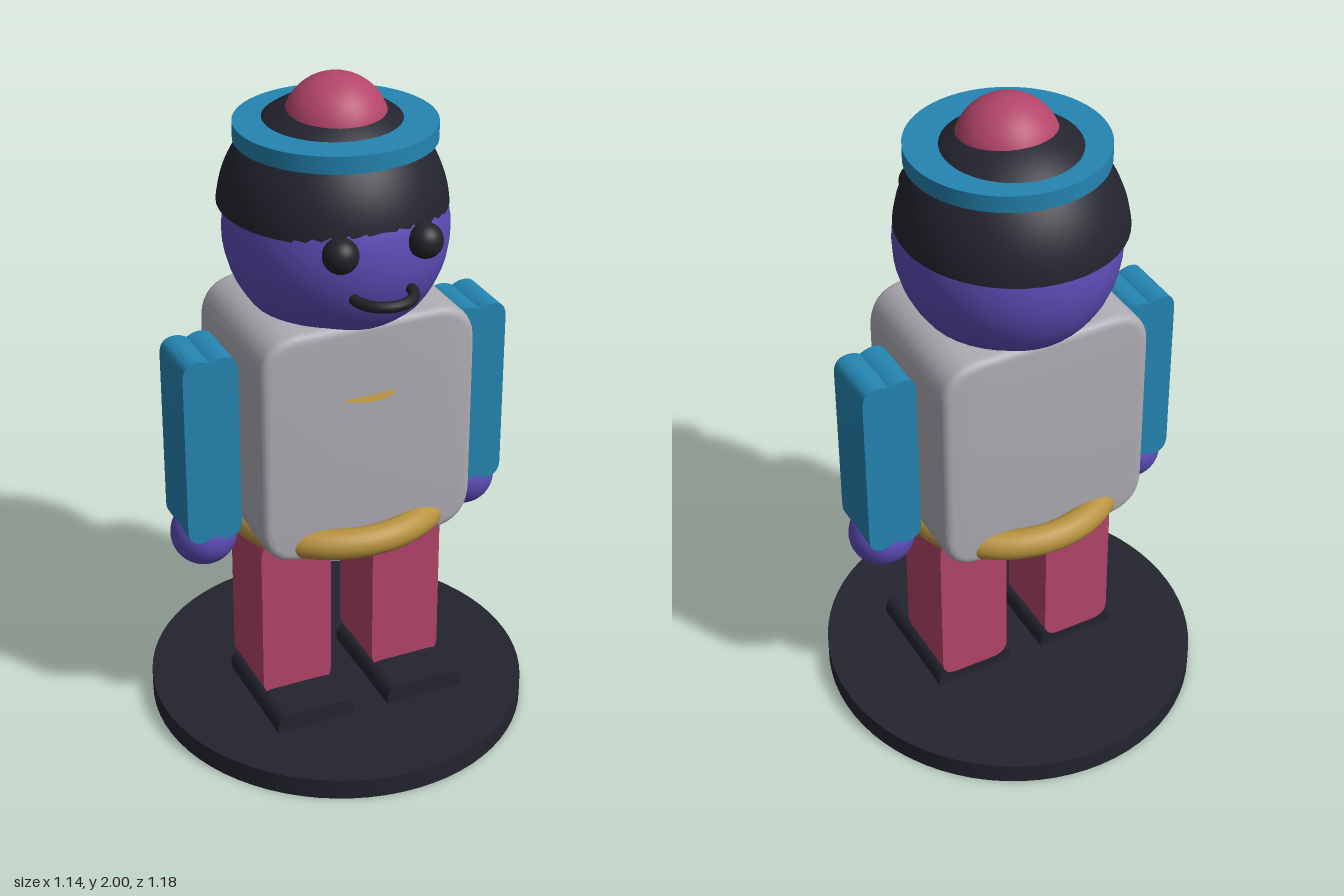
import * as THREE from 'three';
import { toCreasedNormals } from 'three/addons/utils/BufferGeometryUtils.js';

const mat = (name, color, side = THREE.FrontSide) => {
  const m = new THREE.MeshStandardMaterial({ color, side });
  m.name = name;
  return m;
};

// Rounded rectangle centred on the origin
function roundedRect(w, h, r) {
  const x = w / 2, y = h / 2, s = new THREE.Shape();
  s.moveTo(-x + r, -y);
  s.lineTo(x - r, -y);
  s.quadraticCurveTo(x, -y, x, -y + r);
  s.lineTo(x, y - r);
  s.quadraticCurveTo(x, y, x - r, y);
  s.lineTo(-x + r, y);
  s.quadraticCurveTo(-x, y, -x, y - r);
  s.lineTo(-x, -y + r);
  s.quadraticCurveTo(-x, -y, -x + r, -y);
  return s;
}

// Arm outline with a shallow groove across both ends
function armOutline(w, h) {
  const x = w / 2, y = h / 2, r = 0.05, b = 0.038, notch = 0.012;
  const s = new THREE.Shape();
  s.moveTo(0, -y + notch);
  s.quadraticCurveTo(b / 2, -y, b, -y);
  s.quadraticCurveTo(x, -y, x, -y + r);
  s.lineTo(x, y - r);
  s.quadraticCurveTo(x, y, b, y);
  s.quadraticCurveTo(b / 2, y, 0, y - notch);
  s.quadraticCurveTo(-b / 2, y, -b, y);
  s.quadraticCurveTo(-x, y, -x, y - r);
  s.lineTo(-x, -y + r);
  s.quadraticCurveTo(-x, -y, -b, -y);
  s.quadraticCurveTo(-b / 2, -y, 0, -y + notch);
  return s;
}

// Extrusion centred in z, with an optional rounded edge
function slab(shape, depth, bevel = 0) {
  const g = new THREE.ExtrudeGeometry(shape, {
    depth: depth - 2 * bevel, curveSegments: 10, bevelEnabled: bevel > 0,
    bevelThickness: bevel, bevelSize: bevel, bevelSegments: 4,
  });
  g.translate(0, 0, -depth / 2 + bevel);
  return toCreasedNormals(g, 0.6);
}

export function createModel() {
  const skin = mat('purple skin', 0x5d4db8);
  const dark = mat('dark navy', 0x242430, THREE.DoubleSide);
  const black = mat('face black', 0x222227);
  const red = mat('raspberry', 0xb4456a);
  const blue = mat('teal blue', 0x2485b2);
  const grey = mat('light grey', 0xaeacb3);
  const gold = mat('gold', 0xb8923e, THREE.DoubleSide);

  const model = new THREE.Group();
  const add = (name, geometry, material, x = 0, y = 0, z = 0) => {
    const m = new THREE.Mesh(geometry, material);
    m.name = name;
    m.position.set(x, y, z);
    model.add(m);
    return m;
  };
  const ball = (r) => new THREE.SphereGeometry(r, 40, 28);

  // Oval stand
  add('base', new THREE.CylinderGeometry(0.59, 0.59, 0.065, 72), dark, 0, 0.0325, 0).scale.x = 0.966;

  // Torso, belt and the flat chest pocket ledge
  add('torso', slab(roundedRect(0.608, 0.675, 0.1), 0.475, 0.025), grey, 0, 0.993, 0);
  const belt = add('belt', new THREE.TorusGeometry(0.278, 0.045, 20, 64).rotateX(Math.PI / 2), gold, 0, 0.677, 0);
  belt.scale.x = 1.07;
  add('chestLedge', new THREE.CircleGeometry(0.11, 32).rotateX(-Math.PI / 2), gold, 0, 1.13, 0.165);

  // Limbs, mirrored
  for (const side of [1, -1]) {
    const label = side > 0 ? 'left' : 'right';
    add(label + 'Leg', slab(roundedRect(0.222, 0.54, 0.05), 0.238), red, side * 0.18, 0.37, 0);
    add(label + 'Shoe', slab(roundedRect(0.25, 0.1, 0.045), 0.378), dark, side * 0.18, 0.07, 0.072);
    add(label + 'Arm', slab(armOutline(0.165, 0.585), 0.185), blue, side * 0.421, 0.968, 0);
    add(label + 'Hand', ball(0.098), skin, side * 0.423, 0.657, 0);
    add(label + 'Eye', ball(0.05), black, side * 0.125, 1.61, 0.31);
  }

  // Head with a mouth curving forward
  add('head', ball(0.325), skin, 0, 1.56, 0).scale.x = 0.985;
  add('mouth', new THREE.TorusGeometry(0.085, 0.016, 12, 32, Math.PI).rotateX(Math.PI / 2), black, 0, 1.475, 0.31);

  // Hair dome, set slightly back, with the hat brim and bobble
  const hair = add('hair', new THREE.SphereGeometry(0.337, 48, 24, 0, Math.PI * 2, 0, Math.acos(0.03 / 0.337)), dark, 0, 1.6, -0.022);
  hair.scale.x = 0.966;
  add('hatBrim', new THREE.CylinderGeometry(0.284, 0.284, 0.05, 64), blue, 0, 1.845, 0);
  add('hatBobble', ball(0.15), red, 0, 1.85, 0);

  return model;
}
